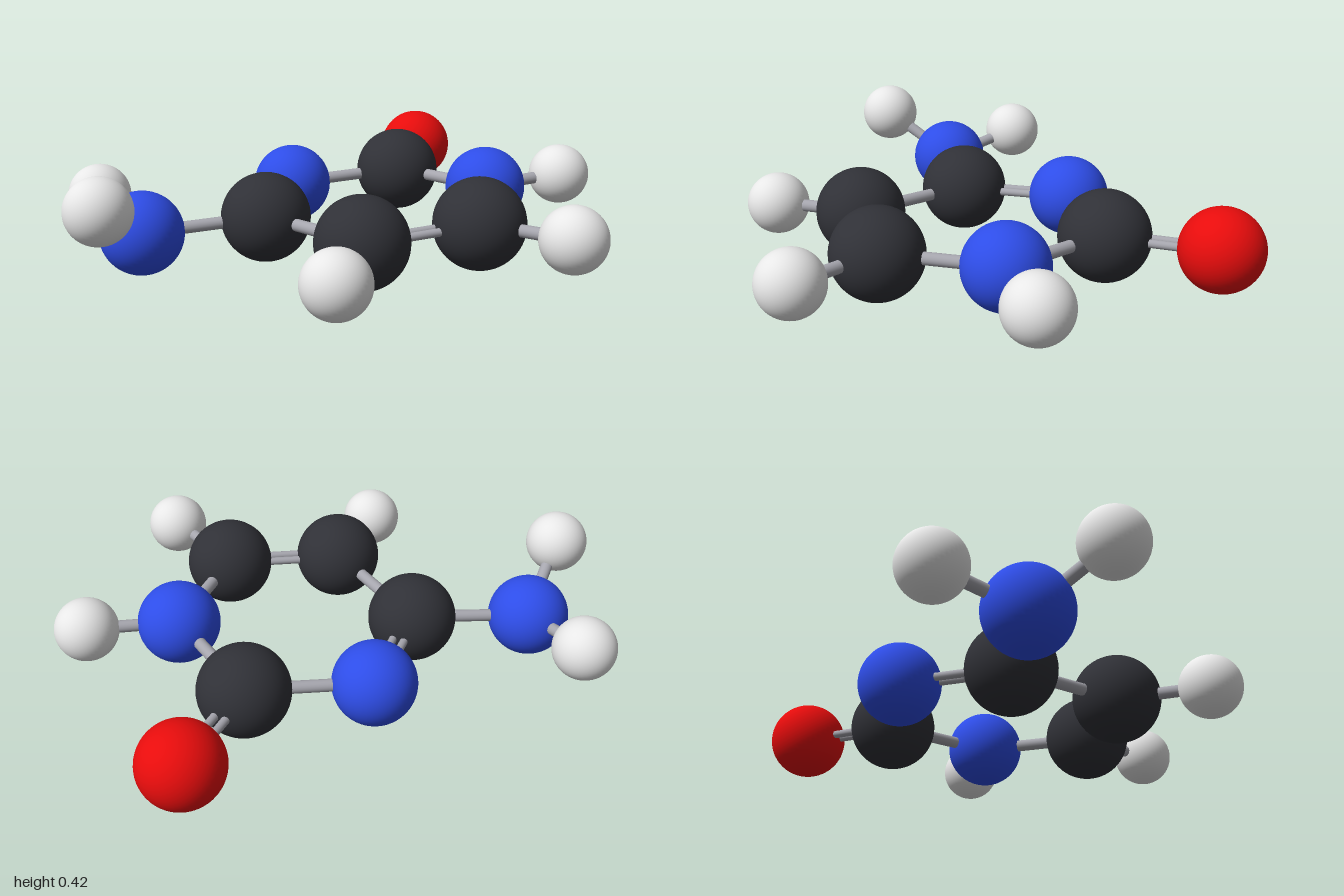
import * as THREE from 'three';

const mat = (name, color) => {
  const m = new THREE.MeshStandardMaterial({ color });
  m.name = name;
  return m;
};

export function createModel() {
  const model = new THREE.Group();
  model.name = 'molecule';

  const bondMaterial = mat('bondGrey', 0xa6a6ae);
  const kinds = {
    carbon: { r: 0.16, material: mat('carbonCharcoal', 0x303137) },
    nitrogen: { r: 0.147, material: mat('nitrogenBlue', 0x3050f0) },
    oxygen: { r: 0.144, material: mat('oxygenRed', 0xf00d0d) },
    hydrogen: { r: 0.113, material: mat('hydrogenWhite', 0xe8e8e8) },
  };
  for (const k of Object.values(kinds)) k.geometry = new THREE.SphereGeometry(k.r, 48, 32);

  // Atoms: kind and centre
  const atoms = {
    ringNitrogenRight: ['nitrogen', 0.559, 0.217, 0.037],
    ringCarbonBack: ['carbon', 0.369, 0.204, -0.358],
    ringNitrogenBack: ['nitrogen', -0.07, 0.184, -0.374],
    ringCarbonLeft: ['carbon', -0.283, 0.171, -0.019],
    ringCarbonFrontLeft: ['carbon', -0.083, 0.187, 0.409],
    ringCarbonFrontRight: ['carbon', 0.342, 0.206, 0.411],
    oxygen: ['oxygen', 0.594, 0.215, -0.679],
    sideNitrogen: ['nitrogen', -0.719, 0.15, -0.053],
    sideHydrogenBack: ['hydrogen', -0.816, 0.215, -0.356],
    sideHydrogenFront: ['hydrogen', -0.888, 0.311, 0.171],
    hydrogenRight: ['hydrogen', 0.882, 0.233, -0.029 + 0.058],
    hydrogenFrontLeft: ['hydrogen', -0.276, 0.172, 0.692],
    hydrogenFrontRight: ['hydrogen', 0.527, 0.219, 0.702],
  };
  const centre = (name) => new THREE.Vector3(...atoms[name].slice(1));

  for (const [name, [kind]] of Object.entries(atoms)) {
    const ball = new THREE.Mesh(kinds[kind].geometry, kinds[kind].material);
    ball.name = name;
    ball.position.copy(centre(name));
    model.add(ball);
  }

  // A rod between two points
  const up = new THREE.Vector3(0, 1, 0);
  function rod(a, b, radius) {
    const dir = b.clone().sub(a);
    const mesh = new THREE.Mesh(
      new THREE.CylinderGeometry(radius, radius, dir.length(), 20, 1, true), bondMaterial);
    mesh.position.copy(a).add(b).multiplyScalar(0.5);
    mesh.quaternion.setFromUnitVectors(up, dir.normalize());
    mesh.name = 'bondRod';
    return mesh;
  }

  // Bonds: single ones have one rod, double ones two thinner rods side by side
  const bonds = [
    ['ringNitrogenRight', 'ringCarbonBack', 1],
    ['ringCarbonBack', 'ringNitrogenBack', 1],
    ['ringNitrogenBack', 'ringCarbonLeft', 2],
    ['ringCarbonLeft', 'ringCarbonFrontLeft', 1],
    ['ringCarbonFrontLeft', 'ringCarbonFrontRight', 2],
    ['ringCarbonFrontRight', 'ringNitrogenRight', 1],
    ['ringCarbonBack', 'oxygen', 2],
    ['ringCarbonLeft', 'sideNitrogen', 1],
    ['sideNitrogen', 'sideHydrogenBack', 1],
    ['sideNitrogen', 'sideHydrogenFront', 1],
    ['ringNitrogenRight', 'hydrogenRight', 1],
    ['ringCarbonFrontLeft', 'hydrogenFrontLeft', 1],
    ['ringCarbonFrontRight', 'hydrogenFrontRight', 1],
  ];
  for (const [from, to, order] of bonds) {
    const a = centre(from), b = centre(to);
    const bond = new THREE.Group();
    bond.name = order === 2 ? 'doubleBond' : 'singleBond';
    if (order === 1) {
      bond.add(rod(a, b, 0.022));
    } else {
      const side = b.clone().sub(a).cross(up).setLength(0.02);
      for (const s of [-1, 1]) {
        const shift = side.clone().multiplyScalar(s);
        bond.add(rod(a.clone().add(shift), b.clone().add(shift), 0.0145));
      }
    }
    model.add(bond);
  }
  return model;
}
